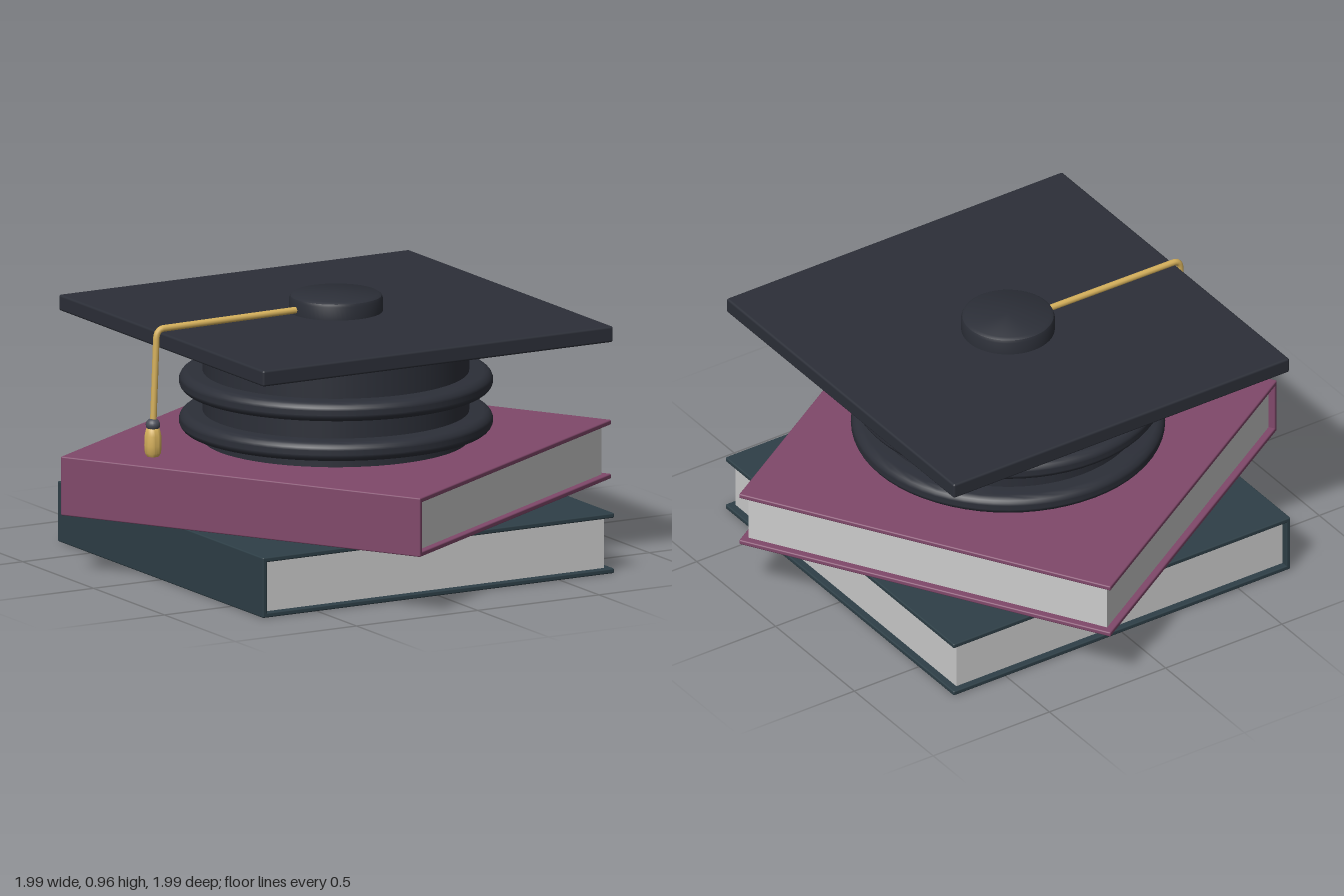
import * as THREE from 'three';
import { RoundedBoxGeometry } from 'three/addons/geometries/RoundedBoxGeometry.js';
import { toCreasedNormals } from 'three/addons/utils/BufferGeometryUtils.js';

const mat = (color) => new THREE.MeshStandardMaterial({ color });
const felt = mat(0x2c2f38), gold = mat(0xd6b15c), paper = mat(0xcccccc), knotGrey = mat(0x4a4d58);

function add(parent, name, geometry, material, x = 0, y = 0, z = 0) {
  const mesh = new THREE.Mesh(geometry, material);
  mesh.name = name;
  mesh.position.set(x, y, z);
  parent.add(mesh);
  return mesh;
}

// Revolve [radius, y] points, keeping hard edges crisp
function lathe(points, segments = 64) {
  const geo = new THREE.LatheGeometry(points.map(([r, y]) => new THREE.Vector2(r, y)), segments);
  return toCreasedNormals(geo, 0.6);
}

// Square hardcover with its spine on the -x side, standing on y = 0
function makeBook(name, material, height) {
  const book = new THREE.Group();
  book.name = name;
  const size = 1.45, t = 0.018;
  const board = new RoundedBoxGeometry(size, t, size, 2, 0.005);
  add(book, 'bottomCover', board, material, 0, t / 2, 0);
  add(book, 'topCover', board, material, 0, height - t / 2, 0);
  add(book, 'spine', new RoundedBoxGeometry(t, height - 0.004, size, 2, 0.005), material,
    -size / 2 + t / 2, height / 2, 0);
  add(book, 'pages', new THREE.BoxGeometry(1.41, height - 2 * t + 0.002, 1.4), paper, -0.008, height / 2, 0);
  return book;
}

// Flat disc with a fully rounded rim, used for the folds around the cap
function foldProfile(radius, half) {
  const points = [[0.4, -half]];
  for (let i = 0; i <= 12; i++) {
    const a = -Math.PI / 2 + (Math.PI * i) / 12;
    points.push([radius - half + half * Math.cos(a), half * Math.sin(a)]);
  }
  points.push([0.4, half]);
  return points;
}

function makeCap() {
  const cap = new THREE.Group();
  cap.name = 'graduationCap';

  // Head piece with two folds
  add(cap, 'headPiece', new THREE.CylinderGeometry(0.475, 0.475, 0.425, 64), felt, 0, 0.6425, 0);
  for (const y of [0.505, 0.65]) add(cap, 'fold', lathe(foldProfile(0.56, 0.035)), felt, 0, y, 0);

  // Square board and button
  add(cap, 'board', new RoundedBoxGeometry(1.445, 0.058, 1.445, 2, 0.008), felt, 0, 0.872, 0);
  add(cap, 'button', lathe([[0, 0], [0.167, 0], [0.167, 0.048], [0.163, 0.058], [0.152, 0.065], [0, 0.065]]),
    felt, 0, 0.9, 0);

  // Cord running over the edge of the board
  const v = (x, y) => new THREE.Vector3(x, y, 0);
  const path = new THREE.CurvePath();
  path.add(new THREE.LineCurve3(v(-0.15, 0.921), v(-0.71, 0.916)));
  path.add(new THREE.QuadraticBezierCurve3(v(-0.71, 0.916), v(-0.738, 0.916), v(-0.741, 0.885)));
  path.add(new THREE.LineCurve3(v(-0.741, 0.885), v(-0.754, 0.57)));
  add(cap, 'cord', new THREE.TubeGeometry(path, 80, 0.012, 10), gold);

  // Knot and tassel
  const knot = add(cap, 'knot', new THREE.SphereGeometry(0.026, 20, 14), knotGrey, -0.755, 0.57, 0);
  knot.scale.y = 0.9;
  add(cap, 'tassel', lathe([[0, 0], [0.022, 0], [0.029, 0.012], [0.031, 0.04], [0.03, 0.075],
    [0.025, 0.098], [0.017, 0.108], [0, 0.112]], 24), gold, -0.755, 0.455, 0);
  return cap;
}

export function createModel() {
  const model = new THREE.Group();
  model.name = 'capOnBooks';
  model.add(makeBook('lowerBook', mat(0x2e3f47), 0.22));
  const upper = makeBook('upperBook', mat(0x80486a), 0.215);
  upper.position.y = 0.22;
  upper.rotation.y = 0.553;
  model.add(upper, makeCap());
  return model;
}
